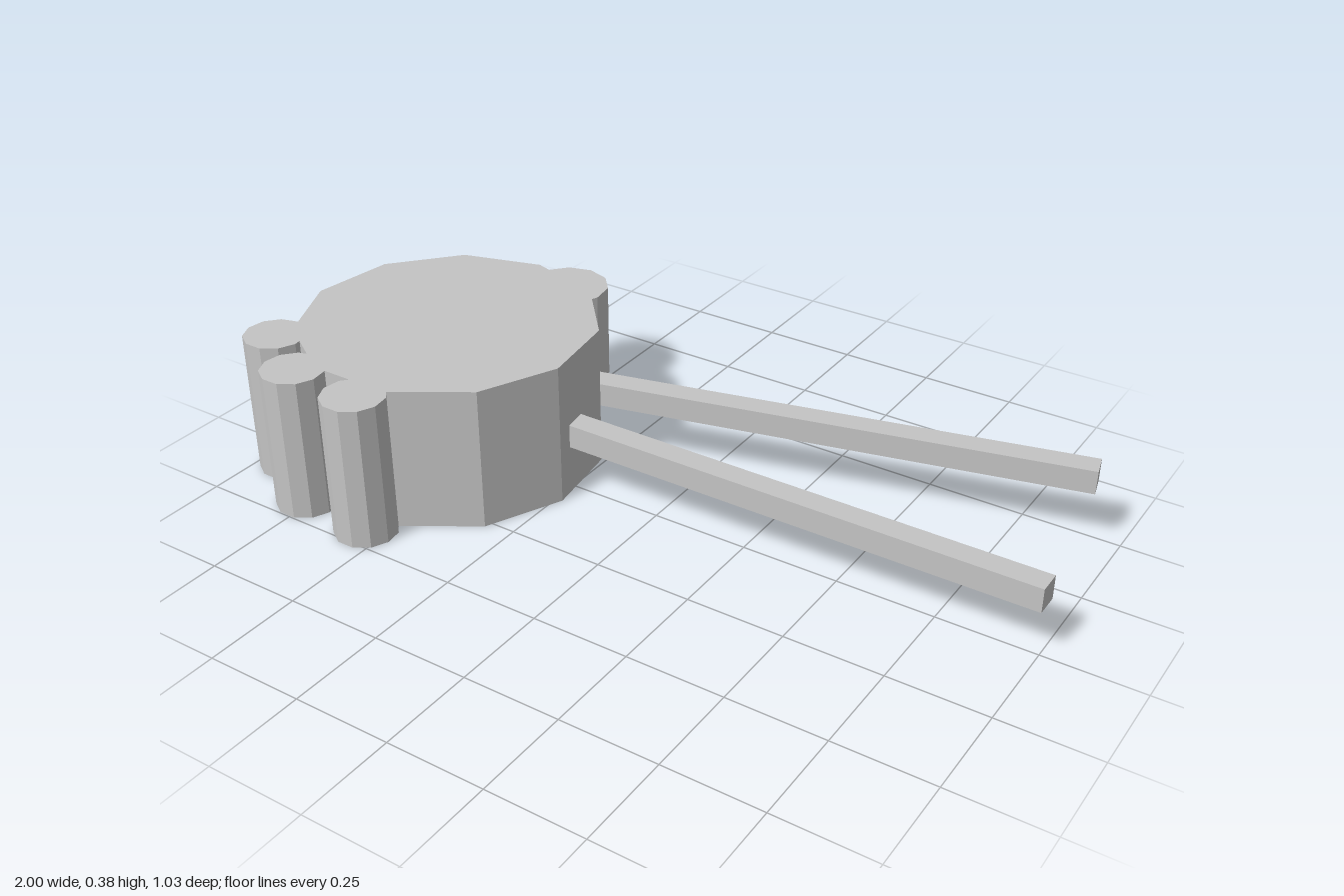
import * as THREE from 'three';

const SIDES = 11;

export function createModel() {
  const model = new THREE.Group();
  const grey = new THREE.MeshStandardMaterial({ color: 0xc4c4c4, flatShading: true });
  grey.name = 'plain grey';

  function add(name, geometry, x, y, z, turn) {
    const mesh = new THREE.Mesh(geometry, grey);
    mesh.name = name;
    mesh.position.set(x, y, z);
    mesh.rotation.y = turn;
    model.add(mesh);
  }

  // Upright eleven-sided prism with one corner pointing to the back
  function prism(name, x, z, radius, bottom, top) {
    const geometry = new THREE.CylinderGeometry(radius, radius, top - bottom, SIDES);
    add(name, geometry, x, (bottom + top) / 2, z, Math.PI);
  }

  // Square bar running from inside the body to its tip
  function bar(name, tipX, y, tipZ, length, angle) {
    const x = tipX - (Math.cos(angle) * length) / 2;
    const z = tipZ + (Math.sin(angle) * length) / 2;
    add(name, new THREE.BoxGeometry(length, 0.062, 0.062), x, y, z, angle);
  }

  // Main drum
  prism('body', -0.612, 0.018, 0.384, 0, 0.375);

  // Three narrow columns along the front and a wider, shorter one behind
  const columns = [[-0.553, 0.438], [-0.76, 0.42], [-0.92, 0.313]];
  columns.forEach(([x, z], i) => prism(`frontColumn${i + 1}`, x, z, 0.08, 0, 0.375));
  prism('backColumn', -0.553, -0.404, 0.112, 0.06, 0.315);

  // Two long bars, the rear one angled backwards
  bar('straightBar', 1, 0.161, -0.005, 1.35, 0);
  bar('angledBar', 0.927, 0.18, -0.483, 1.35, 0.239);

  return model;
}
